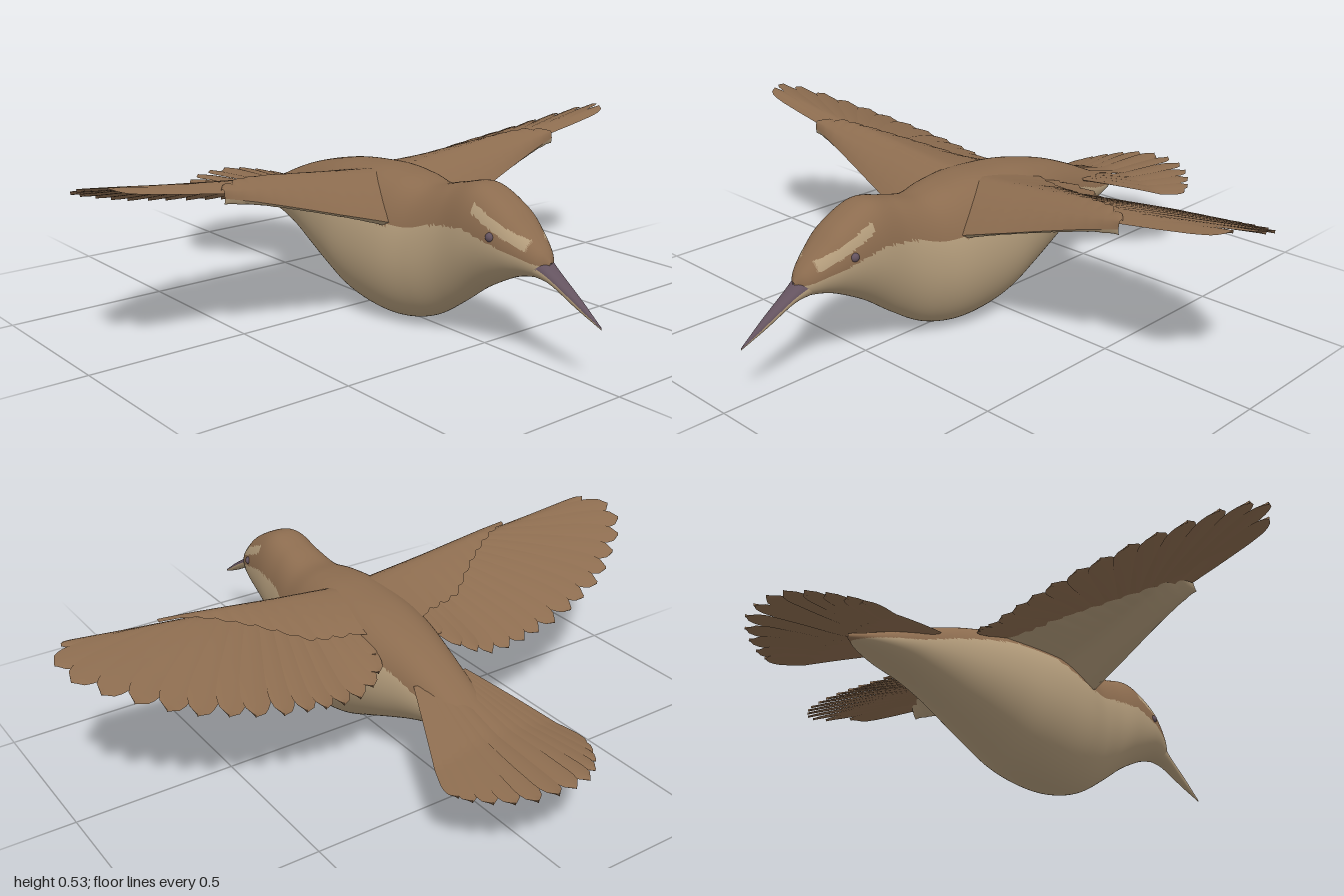
import * as THREE from 'three';

const mat = (name, color) => Object.assign(new THREE.MeshStandardMaterial({ color }), { name });
const brown = mat('plumage brown', 0x8c6c4f);
const tan = mat('belly tan', 0xb39c7b);
const plum = mat('bill plum grey', 0x64535f);

// piecewise linear lookup in [key, value] pairs with rising keys
function lerpTable(table, k) {
  for (let i = 1; i < table.length; i++) {
    const [a, va] = table[i - 1], [b, vb] = table[i];
    if (k <= b) return va + (vb - va) * Math.max(0, (k - a) / (b - a));
  }
  return table[table.length - 1][1];
}

// mesh with one index list per material
function build(name, positions, lists, materials) {
  const g = new THREE.BufferGeometry();
  g.setAttribute('position', new THREE.Float32BufferAttribute(positions, 3));
  g.setIndex(lists.flat());
  let start = 0;
  lists.forEach((l, i) => { g.addGroup(start, l.length, i); start += l.length; });
  g.computeVertexNormals();
  const mesh = new THREE.Mesh(g, materials);
  mesh.name = name;
  return mesh;
}

// loft through [z, top, bottom, halfWidth] sections, front to back, fuller in the upper half
function loft(name, sections, rows, cols, materials, pick) {
  const a = new THREE.CatmullRomCurve3(sections.map(s => new THREE.Vector3(s[0], s[1], s[2])), false, 'catmullrom');
  const b = new THREE.CatmullRomCurve3(sections.map(s => new THREE.Vector3(s[0], s[3], 0)), false, 'catmullrom');
  const pos = [], lists = materials.map(() => []);
  for (let i = 0; i <= rows; i++) {
    const p = a.getPoint(i / rows), w = Math.max(0.001, b.getPoint(i / rows).y);
    for (let j = 0; j < cols; j++) {
      const t = (j / cols) * Math.PI * 2, c = Math.cos(t), s = Math.sin(t);
      const x = s > 0 ? Math.sign(c) * Math.pow(Math.abs(c), 0.8) : c;
      pos.push(w * x, (p.y + p.z) / 2 + (p.y - p.z) / 2 * s, p.x);
    }
  }
  const at = (i, k) => pos[i * 3 + k];
  const tri = (p, q, r) => {
    const c = [0, 1, 2].map(k => (at(p, k) + at(q, k) + at(r, k)) / 3);
    lists[pick(c[0], c[1], c[2])].push(p, q, r);
  };
  for (let i = 0; i < rows; i++) for (let j = 0; j < cols; j++) {
    const n = (j + 1) % cols, p = i * cols, q = p + cols;
    tri(p + j, q + j, p + n);
    tri(q + j, q + n, p + n);
  }
  return build(name, pos, lists, materials);
}

// thin two-sided shell: f(u, v, layer) with layer 0 = upper face, 1 = lower face
function shell(name, f, nu, nv, materials) {
  const pos = [], lists = [[], []];
  for (let layer = 0; layer < 2; layer++)
    for (let i = 0; i <= nu; i++) for (let j = 0; j <= nv; j++) pos.push(...f(i / nu, j / nv, layer));
  const [o, a, b] = [f(.5, .5, 0), f(.55, .5, 0), f(.5, .55, 0)];
  const up = (a[2] - o[2]) * (b[0] - o[0]) - (a[0] - o[0]) * (b[2] - o[2]) > 0;
  for (let layer = 0; layer < 2; layer++) for (let i = 0; i < nu; i++) for (let j = 0; j < nv; j++) {
    const p = layer * (nu + 1) * (nv + 1) + i * (nv + 1) + j, q = p + nv + 1;
    if (up === (layer === 0)) lists[layer].push(p, q, p + 1, q, q + 1, p + 1);
    else lists[layer].push(p, p + 1, q, q, p + 1, q + 1);
  }
  return build(name, pos, lists, materials);
}

// round-tipped feather laid on the height surface yAt(x, z)
function feather(name, root, tip, half, yAt, lift, tilt) {
  const dx = tip[0] - root[0], dz = tip[1] - root[1], len = Math.hypot(dx, dz);
  const nx = -dz / len, nz = dx / len, cap = 2 * half / len;
  return shell(name, (u, v, layer) => {
    const s = v * 2 - 1, e = Math.max(0, (u - 1 + cap) / cap);
    const w = half * (0.55 + 0.45 * Math.min(1, u * 1.4)) * Math.sqrt(Math.max(0, 1 - e * e)) * s;
    const x = root[0] + dx * u + nx * w, z = root[1] + dz * u + nz * w;
    const thick = 0.004 * (1 - s * s) * (layer ? -1 : 1);
    return [x, yAt(x, z) + lift + tilt * s + thick, z];
  }, 24, 6, [brown, brown]);
}

// cambered wing surface, flatter beside the back
const spine = [[0, .425], [.1, .435], [.3, .455], [.55, .485], [.75, .503], [1, .53]];
function wingY(x, z) {
  const d = z - 0.08, ax = Math.abs(x);
  const drop = d < 0
    ? 0.13 * Math.pow(-d / 0.4, 1.3) * lerpTable([[.05, .5], [.24, 1]], ax)
    : 0.075 * Math.pow(d / 0.12, 1.4);
  return lerpTable(spine, ax) - drop;
}

const wingTips = [[.95, .075], [1, 0], [.985, -.07], [.93, -.13], [.86, -.18], [.79, -.225], [.72, -.26],
  [.64, -.285], [.57, -.305], [.49, -.32], [.42, -.325], [.36, -.328], [.30, -.328], [.24, -.322],
  [.19, -.31], [.15, -.28], [.12, -.22]];
const covertEdge = [[.05, -.2], [.12, -.13], [.2, -.11], [.27, -.095], [.4, 0], [.5, .06], [.64, .125]];

function wing(side) {
  const g = new THREE.Group();
  g.name = side > 0 ? 'leftWing' : 'rightWing';
  wingTips.forEach((t, i) => {
    const root = [side * (.58 - .03 * i), .118 - .002 * i];
    const half = i === 0 ? .03 : i < 9 ? .042 : .037;
    g.add(feather('flightFeather', root, [side * t[0], t[1]], half, wingY, -.0004 * i, side * .003));
  });
  // shoulder, arm and covert feathers in one thick section, tan beneath
  g.add(shell('wingCoverts', (u, v, layer) => {
    const x = .05 + .59 * u, lead = .265 - .19 * x;
    const trail = lerpTable(covertEdge, x) - .012 * Math.abs(Math.sin(u * Math.PI * 12));
    const z = lead + (trail - lead) * v;
    const foil = 2.6 * Math.sqrt(v) * (1 - v), rim = Math.min(1, v * 6);
    const off = layer ? -foil * (.014 + .055 * (1 - u) ** 2) - .007 * rim : .012 * foil + .007 * rim;
    return [side * x, wingY(x, z) + off, z];
  }, 96, 20, [brown, tan]));
  return g;
}

export function createModel() {
  const bird = new THREE.Group();
  bird.name = 'bird';

  // body: brown back and cap, tan underside and brow stripes
  const edge = [[-.65, .24], [-.45, .28], [-.3, .33], [-.2, .355], [-.1, .375], [.05, .37], [.2, .32],
    [.28, .32], [.33, .335], [.4, .35], [.5, .36], [.6, .335], [.74, .29]];
  bird.add(loft('body', [
    [.745, .3, .27, .004], [.72, .335, .255, .038], [.66, .39, .243, .07], [.6, .437, .22, .09],
    [.5, .479, .165, .104], [.4, .46, .093, .114], [.3, .438, .03, .14], [.2, .452, .002, .168],
    [.1, .46, .003, .18], [0, .455, .025, .18], [-.1, .445, .068, .165], [-.2, .425, .113, .143],
    [-.3, .397, .155, .116], [-.4, .358, .19, .094], [-.5, .312, .215, .076], [-.58, .28, .235, .045],
    [-.64, .262, .25, .004]], 160, 96, [brown, tan], (x, y, z) => {
    const brow = z > .52 && z < .695 && Math.abs(y - (.335 + (.71 - z) * .46)) < .014;
    return brow || y < lerpTable(edge, z) ? 1 : 0;
  }));

  // slender bill, dark along the top
  const ridge = [[.7, .293], [.76, .267], [.85, .213], [.93, .165]];
  bird.add(loft('bill', [[.93, .168, .162, .001], [.85, .225, .197, .014], [.76, .283, .242, .027],
    [.7, .325, .252, .042]], 30, 32, [plum, tan], (x, y, z) => (y > lerpTable(ridge, z) ? 0 : 1)));

  for (const side of [1, -1]) {
    const eye = new THREE.Mesh(new THREE.SphereGeometry(.014, 16, 12), plum);
    eye.name = side > 0 ? 'leftEye' : 'rightEye';
    eye.position.set(side * .083, .354, .595);
    bird.add(eye, wing(side));
  }

  // fanned tail rising into the rump, outer feathers lower
  const tail = new THREE.Group();
  tail.name = 'tail';
  const tailY = (x, z) => .278 + (z + .5) * .055 + Math.max(0, z + .64) * .2 - .6 * x * x;
  const tailTips = [[.03, -.93], [.09, -.917], [.14, -.885], [.18, -.845], [.212, -.8], [.228, -.76]];
  tailTips.forEach((t, i) => {
    for (const side of [1, -1])
      tail.add(feather('tailFeather', [side * .014 * (i + .5), -.38], [side * t[0], t[1]], .033, tailY, -.0015 * i, side * .003));
  });
  bird.add(tail);
  return bird;
}
